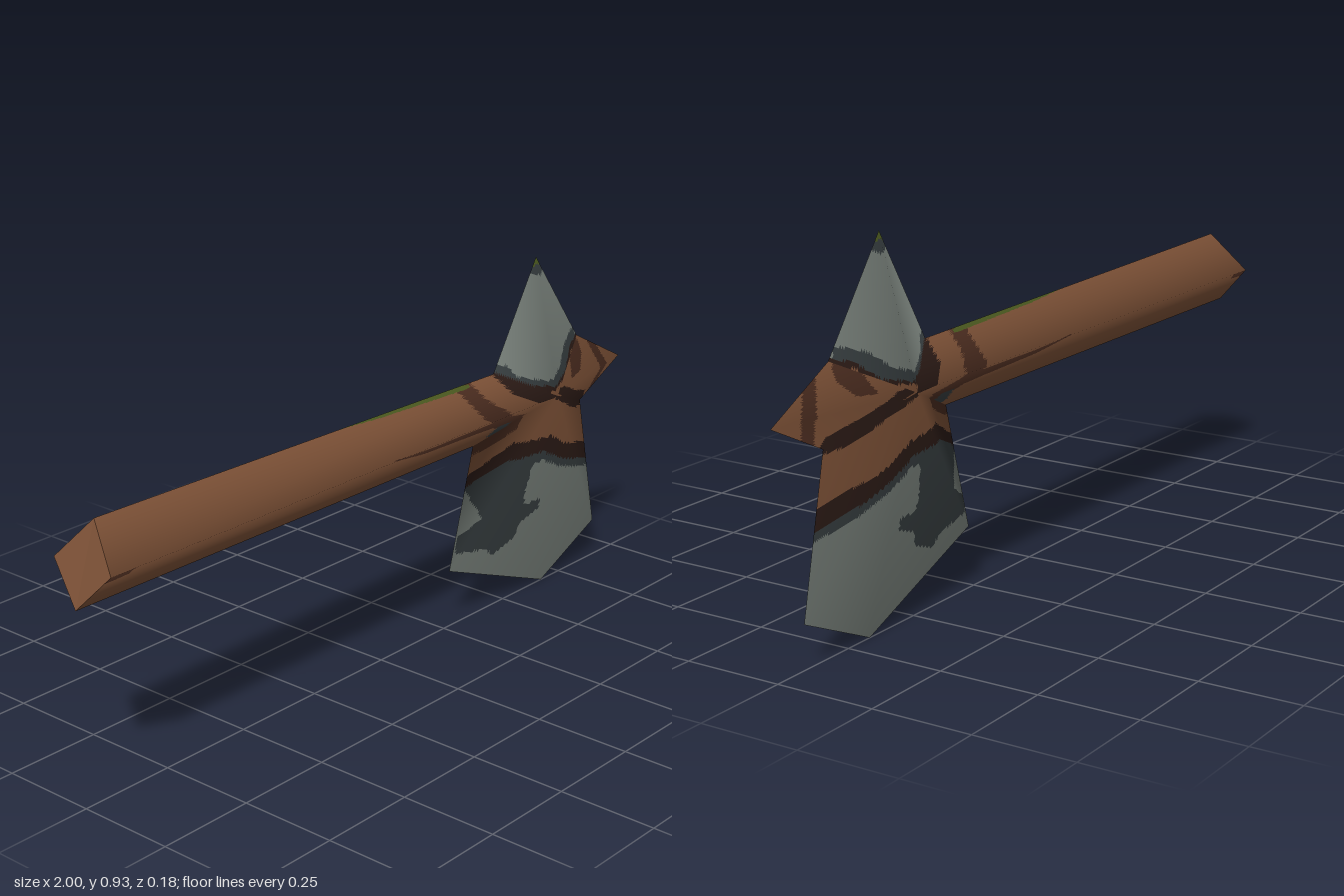
import * as THREE from 'three';

const mat = (name, color) => {
  const m = new THREE.MeshStandardMaterial({ color });
  m.name = name;
  return m;
};

// Corner points of the axe; everything lies on z = 0 except hub and ridge
const P = {
  hub: [0.6, 0.57, 0.09], ridge: [-0.975, 0.575, 0.09],
  topEnd: [-0.935, 0.675, 0], botEnd: [-1, 0.48, 0],
  topJoin: [0.44, 0.65, 0], botJoin: [0.36, 0.475, 0],
  spikeTip: [0.61, 0.925, 0], rearTop: [0.8, 0.67, 0],
  rearTip: [1, 0.565, 0], rearBottom: [0.825, 0.48, 0],
  heel: [0.27, 0.155, 0], edge: [0.67, 0, 0], toe: [0.905, 0.105, 0],
};

// Front facets of each part, with the number of cuts per side for painting
const PARTS = {
  handle: { base: 'wood', cuts: 80, faces: [
    ['hub', 'topJoin', 'ridge'], ['topJoin', 'topEnd', 'ridge'],
    ['ridge', 'botEnd', 'botJoin'], ['ridge', 'botJoin', 'hub']] },
  blade: { base: 'stone', cuts: 44, faces: [
    ['hub', 'botJoin', 'heel'], ['hub', 'heel', 'edge'],
    ['hub', 'edge', 'toe'], ['hub', 'toe', 'rearBottom']] },
  topSpike: { base: 'stone', cuts: 36, faces: [
    ['hub', 'rearTop', 'spikeTip'], ['hub', 'spikeTip', 'topJoin']] },
  rearSpike: { base: 'wood', cuts: 36, faces: [
    ['hub', 'rearBottom', 'rearTip'], ['hub', 'rearTip', 'rearTop']] },
};

// Painted patches as x, y outlines; the first one that contains a point wins
const PAINT = {
  handle: [
    ['moss', [[-0.26, 0.667], [0.0, 0.652], [0.33, 0.642], [0.33, 0.7], [-0.26, 0.7]]],
    ['darkStone', [[0.4, 0.53], [0.45, 0.53], [0.46, 0.5], [0.42, 0.48], [0.39, 0.5]]],
    ['darkWood', [[-0.06, 0.575], [0.1, 0.565], [0.34, 0.565], [0.38, 0.535], [0.3, 0.54], [0.08, 0.55]]],
    ['darkWood', [[-1, 0.575], [-0.9, 0.575], [-0.91, 0.56], [-1, 0.555]]],
    ['darkWood', [[0.28, 0.66], [0.34, 0.66], [0.36, 0.61], [0.42, 0.56], [0.5, 0.54], [0.48, 0.51], [0.38, 0.53], [0.31, 0.58]]],
    ['blackWood', [[0.43, 0.66], [0.47, 0.66], [0.54, 0.6], [0.6, 0.58], [0.6, 0.565], [0.52, 0.57], [0.46, 0.6]]],
  ],
  blade: [
    ['blackWood', [[0.56, 0.58], [0.64, 0.58], [0.74, 0.53], [0.85, 0.49], [0.85, 0.465], [0.76, 0.48], [0.68, 0.52]]],
    ['darkWood', [[0.36, 0.49], [0.43, 0.51], [0.5, 0.53], [0.48, 0.5], [0.4, 0.465], [0.35, 0.45]]],
    ['wood', [[0.3, 0.6], [0.34, 0.4], [0.47, 0.465], [0.6, 0.455], [0.68, 0.41], [0.78, 0.38], [0.9, 0.33], [0.9, 0.6]]],
    ['blackWood', [[0.3, 0.44], [0.33, 0.37], [0.45, 0.42], [0.58, 0.415], [0.67, 0.37], [0.76, 0.34], [0.9, 0.29], [0.9, 0.5], [0.4, 0.5]]],
    ['stone', [[0.26, 0.24], [0.32, 0.25], [0.35, 0.27], [0.34, 0.33], [0.3, 0.33]]],
    ['darkStone', [[0.3, 0.42], [0.55, 0.42], [0.53, 0.3], [0.54, 0.27], [0.6, 0.27], [0.6, 0.24], [0.53, 0.22],
      [0.52, 0.18], [0.44, 0.15], [0.4, 0.18], [0.29, 0.2], [0.3, 0.25], [0.37, 0.28]]],
    ['darkStone', [[0.5, 0.42], [0.52, 0.385], [0.58, 0.39], [0.66, 0.35], [0.75, 0.32], [0.9, 0.27], [0.9, 0.4]]],
  ],
  topSpike: [
    ['moss', [[0.55, 0.94], [0.67, 0.94], [0.67, 0.908], [0.55, 0.9]]],
    ['darkStone', [[0.55, 0.91], [0.67, 0.91], [0.62, 0.875], [0.58, 0.89]]],
    ['wood', [[0.55, 0.56], [0.55, 0.575], [0.61, 0.59], [0.68, 0.6], [0.74, 0.645], [0.81, 0.665], [0.81, 0.56]]],
    ['blackWood', [[0.43, 0.66], [0.46, 0.645], [0.54, 0.605], [0.6, 0.595], [0.68, 0.612], [0.74, 0.66], [0.82, 0.68], [0.82, 0.56], [0.4, 0.56]]],
    ['darkStone', [[0.43, 0.68], [0.48, 0.665], [0.5, 0.635], [0.58, 0.61], [0.65, 0.635], [0.7, 0.675], [0.78, 0.7], [0.82, 0.56], [0.4, 0.56]]],
  ],
  rearSpike: [
    ['blackWood', [[0.58, 0.59], [0.65, 0.58], [0.74, 0.54], [0.83, 0.51], [0.84, 0.47], [0.78, 0.48], [0.68, 0.53]]],
    ['darkWood', [[0.73, 0.66], [0.79, 0.68], [0.8, 0.63], [0.76, 0.59], [0.7, 0.585], [0.72, 0.62]]],
    ['darkWood', [[0.84, 0.66], [0.88, 0.64], [0.92, 0.565], [0.89, 0.5], [0.85, 0.48], [0.88, 0.56]]],
  ],
};

function inside(x, y, poly) {
  let hit = false;
  poly.forEach(([ax, ay], i) => {
    const [bx, by] = poly[(i + 1) % poly.length];
    if ((ay > y) !== (by > y) && x < ax + ((y - ay) / (by - ay)) * (bx - ax)) hit = !hit;
  });
  return hit;
}

// Smooth normals over the front half, creased along its z = 0 outline
function smoothNormals(points) {
  const normals = {};
  for (const k in points) normals[k] = new THREE.Vector3();
  for (const { faces } of Object.values(PARTS)) {
    for (const [a, b, c] of faces) {
      const n = points[b].clone().sub(points[a]).cross(points[c].clone().sub(points[a]));
      for (const k of [a, b, c]) normals[k].add(n);
    }
  }
  for (const k in normals) normals[k].normalize();
  return normals;
}

export function createModel() {
  const group = new THREE.Group();
  group.name = 'axe';
  const mats = {
    wood: mat('wood', 0x7e5237),
    darkWood: mat('darkWood', 0x4c2d20),
    blackWood: mat('blackWood', 0x2c1b16),
    stone: mat('stone', 0x757d77),
    darkStone: mat('darkStone', 0x363d3f),
    moss: mat('moss', 0x4c5a20),
  };
  const points = {};
  for (const k in P) points[k] = new THREE.Vector3(...P[k]);
  const normals = smoothNormals(points);

  for (const [name, { base, cuts, faces }] of Object.entries(PARTS)) {
    // Cut each facet finely and sort the pieces by colour
    const bins = {};
    const addPiece = (tri) => {
      const x = (tri[0].p.x + tri[1].p.x + tri[2].p.x) / 3;
      const y = (tri[0].p.y + tri[1].p.y + tri[2].p.y) / 3;
      const patch = PAINT[name].find(([, poly]) => inside(x, y, poly));
      const bin = (bins[patch ? patch[0] : base] ??= { pos: [], nor: [] });
      for (const side of [1, -1]) {
        for (const { p, n } of side > 0 ? tri : [tri[0], tri[2], tri[1]]) {
          bin.pos.push(p.x, p.y, p.z * side);
          bin.nor.push(n.x, n.y, n.z * side);
        }
      }
    };
    for (const [a, b, c] of faces) {
      const mix = (set, u, v) => set[a].clone().multiplyScalar(1 - u - v)
        .addScaledVector(set[b], u).addScaledVector(set[c], v);
      const at = (i, j) => ({ p: mix(points, i / cuts, j / cuts), n: mix(normals, i / cuts, j / cuts).normalize() });
      for (let i = 0; i < cuts; i++) {
        for (let j = 0; j < cuts - i; j++) {
          addPiece([at(i, j), at(i + 1, j), at(i, j + 1)]);
          if (i + j < cuts - 1) addPiece([at(i + 1, j), at(i + 1, j + 1), at(i, j + 1)]);
        }
      }
    }
    const geo = new THREE.BufferGeometry();
    const pos = [], nor = [], used = [];
    for (const [color, bin] of Object.entries(bins)) {
      geo.addGroup(pos.length / 3, bin.pos.length / 3, used.length);
      used.push(mats[color]);
      for (const v of bin.pos) pos.push(v);
      for (const v of bin.nor) nor.push(v);
    }
    geo.setAttribute('position', new THREE.Float32BufferAttribute(pos, 3));
    geo.setAttribute('normal', new THREE.Float32BufferAttribute(nor, 3));
    const mesh = new THREE.Mesh(geo, used);
    mesh.name = name;
    group.add(mesh);
  }

  // Slanted diamond cap on the grip end
  const back = points.ridge.clone().setZ(-points.ridge.z);
  const cap = new THREE.BufferGeometry().setFromPoints([
    points.topEnd, back, points.botEnd, points.topEnd, points.botEnd, points.ridge]);
  cap.computeVertexNormals();
  const capMesh = new THREE.Mesh(cap, mats.wood);
  capMesh.name = 'handleEnd';
  group.add(capMesh);
  return group;
}
